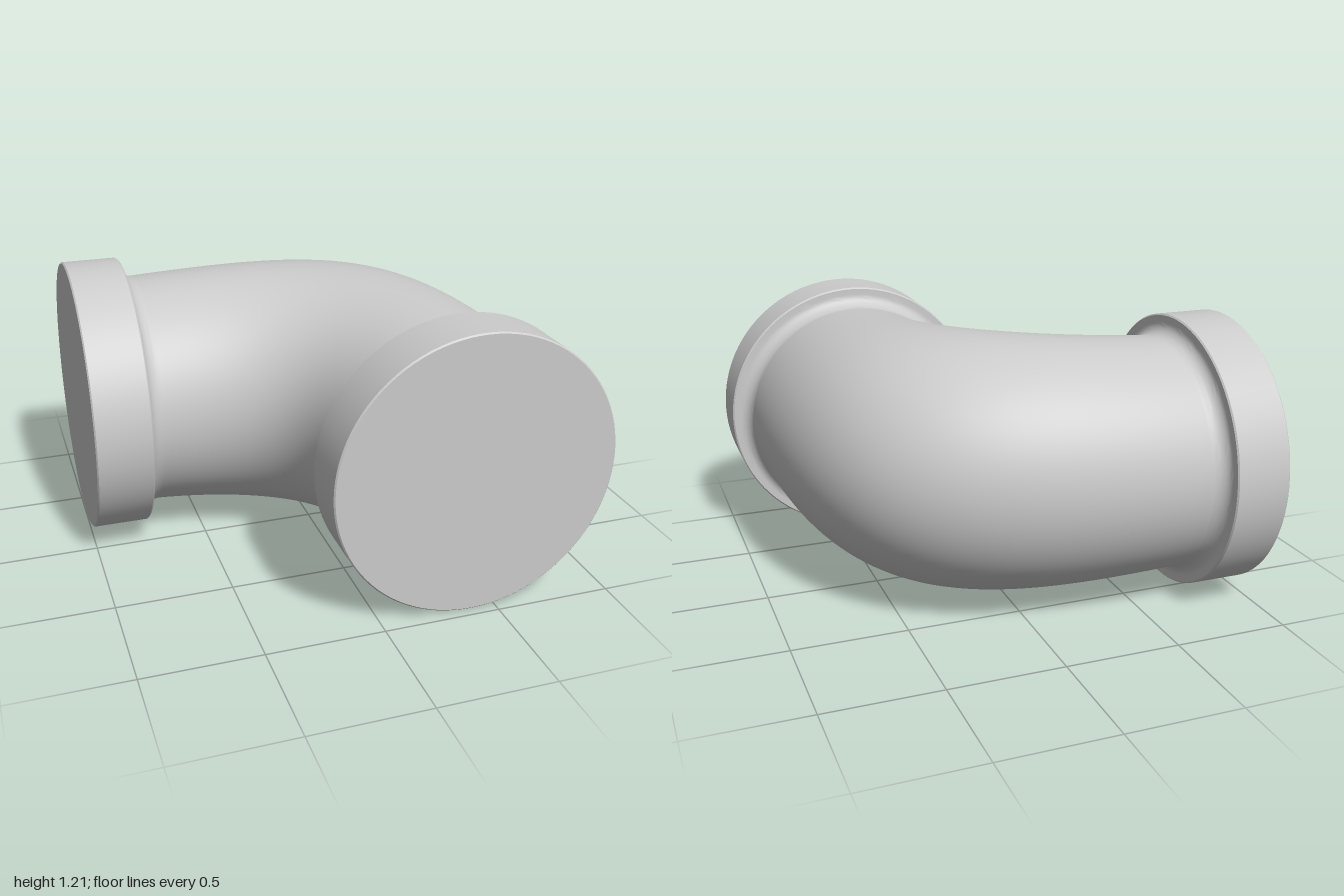
import * as THREE from 'three';
import { toCreasedNormals } from 'three/addons/utils/BufferGeometryUtils.js';

const MID_Y = 0.605, PIPE_R = 0.517, COLLAR_R = 0.605;
const AXIS_Z = -0.355; // axis height of the opening that faces -x
const AXIS_X = 0.395;  // axis of the opening that faces +z
const START_X = -0.69, END_Z = 0.65;

// Closed collar with a small bevel and a concave fillet down to the pipe
function collarGeometry() {
  const profile = [[0, 0], [0.599, 0], [COLLAR_R, 0.006], [COLLAR_R, 0.239], [0.599, 0.245]];
  const steps = 10;
  for (let i = 0; i <= steps; i++) {
    const a = (i / steps) * Math.PI / 2;
    profile.push([0.572 - 0.055 * Math.sin(a), 0.31 - 0.065 * Math.cos(a)]);
  }
  const lathe = new THREE.LatheGeometry(profile.map(([r, y]) => new THREE.Vector2(r, y)), 96);
  return toCreasedNormals(lathe, 0.5);
}

// One side of the bend in plan, leaving along +x and arriving along +z
function bendCurve(side, k) {
  const a = new THREE.Vector3(START_X, MID_Y, AXIS_Z - side * PIPE_R);
  const d = new THREE.Vector3(AXIS_X + side * PIPE_R, MID_Y, END_Z);
  const b = a.clone().setX(a.x + k * (d.x - a.x));
  const c = d.clone().setZ(d.z - k * (d.z - a.z));
  return new THREE.CubicBezierCurve3(a, b, c, d);
}

// Elliptical sections spanning the outer and inner curves, swelling mid-bend
function elbowGeometry() {
  const outer = bendCurve(1, 0.765), inner = bendCurve(-1, 0.66);
  const rings = 72, sides = 96;
  const positions = [], index = [];
  for (let i = 0; i <= rings; i++) {
    const t = i / rings;
    const o = outer.getPoint(t), n = inner.getPoint(t);
    const centre = o.clone().add(n).multiplyScalar(0.5);
    const half = o.clone().sub(centre);
    const height = PIPE_R + 0.046 * Math.sin(Math.PI * t);
    for (let j = 0; j < sides; j++) {
      const a = (j / sides) * Math.PI * 2;
      const p = centre.clone().addScaledVector(half, Math.cos(a));
      positions.push(p.x, p.y + height * Math.sin(a), p.z);
      if (i < rings) {
        const j2 = (j + 1) % sides;
        const p0 = i * sides + j, p1 = i * sides + j2;
        index.push(p0, p1, p0 + sides, p1, p1 + sides, p0 + sides);
      }
    }
  }
  const geometry = new THREE.BufferGeometry();
  geometry.setAttribute('position', new THREE.Float32BufferAttribute(positions, 3));
  geometry.setIndex(index);
  geometry.computeVertexNormals();
  return geometry;
}

export function createModel() {
  const group = new THREE.Group();
  group.name = 'pipeElbow';
  const material = new THREE.MeshStandardMaterial({ color: 0xcccccc });

  const add = (name, geometry) => {
    const mesh = new THREE.Mesh(geometry, material);
    mesh.name = name;
    group.add(mesh);
    return mesh;
  };

  add('elbowBody', elbowGeometry());

  const collar = collarGeometry();
  const side = add('sideCollar', collar);
  side.rotation.z = -Math.PI / 2;
  side.position.set(-1, MID_Y, AXIS_Z);

  const front = add('frontCollar', collar);
  front.rotation.x = -Math.PI / 2;
  front.position.set(AXIS_X, MID_Y, 0.96);

  return group;
}
